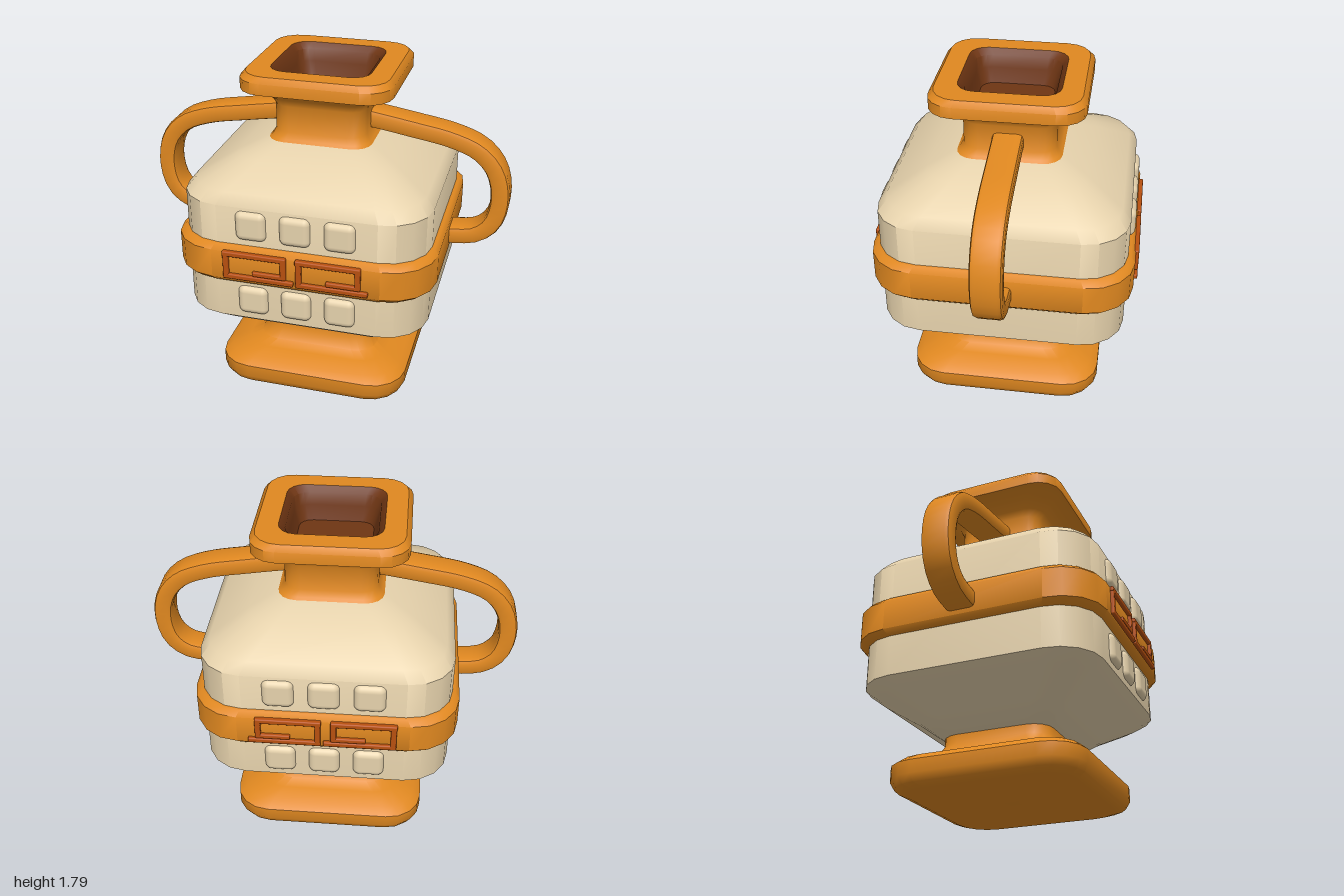
import * as THREE from 'three';
import { toCreasedNormals } from 'three/addons/utils/BufferGeometryUtils.js';
import { RoundedBoxGeometry } from 'three/addons/geometries/RoundedBoxGeometry.js';

const paint = (color) => new THREE.MeshStandardMaterial({ color });
const orange = paint(0xe08820);
const cream = paint(0xe6d2ac);
const brown = paint(0x6e3513);
const rust = paint(0xb8500f);

// Outline of a rounded rectangle, n segments per corner
function roundRect(hx, hz, r, n) {
  const pts = [];
  for (let q = 0; q < 4; q++) {
    const sx = q === 0 || q === 3 ? 1 : -1;
    const sz = q < 2 ? 1 : -1;
    for (let i = 0; i <= n; i++) {
      const a = (q + i / n) * Math.PI / 2;
      pts.push([sx * (hx - r) + r * Math.cos(a), sz * (hz - r) + r * Math.sin(a)]);
    }
  }
  return pts;
}

// Skin over a list of rings of Vector3, optionally closing the ends
function loft(rings, capStart, capEnd, crease) {
  const n = rings[0].length;
  const pos = [];
  const index = [];
  rings.forEach((ring) => ring.forEach((p) => pos.push(p.x, p.y, p.z)));
  for (let i = 0; i < rings.length - 1; i++) {
    for (let j = 0; j < n; j++) {
      const a = i * n + j, b = i * n + (j + 1) % n;
      index.push(a, a + n, b, b, a + n, b + n);
    }
  }
  const cap = (row, flip) => {
    const c = new THREE.Vector3();
    rings[row].forEach((p) => c.addScaledVector(p, 1 / n));
    const k = pos.length / 3;
    pos.push(c.x, c.y, c.z);
    for (let j = 0; j < n; j++) {
      const a = row * n + j, b = row * n + (j + 1) % n;
      index.push(k, flip ? b : a, flip ? a : b);
    }
  };
  if (capStart) cap(0, false);
  if (capEnd) cap(rings.length - 1, true);
  const geo = new THREE.BufferGeometry();
  geo.setAttribute('position', new THREE.Float32BufferAttribute(pos, 3));
  geo.setIndex(index);
  return toCreasedNormals(geo, crease);
}

// Square turned form from [half width, height] pairs
function squareLathe(profile, capStart, capEnd) {
  const rings = profile.map(([h, y]) =>
    roundRect(h, h, h * 0.36, 4).map(([x, z]) => new THREE.Vector3(x, y, z)));
  return loft(rings, capStart, capEnd, 0.75);
}

// Flat strap swept along a curve in the xy plane
function handleGeometry() {
  const path = [[0.2, 1.515], [0.45, 1.475], [0.69, 1.43], [0.83, 1.37], [0.915, 1.27],
    [0.947, 1.12], [0.915, 0.975], [0.835, 0.9], [0.7, 0.875], [0.62, 0.875]];
  const curve = new THREE.CatmullRomCurve3(path.map(([x, y]) => new THREE.Vector3(x, y, 0)));
  const section = roundRect(0.08, 0.05, 0.025, 2);
  const rings = [];
  for (let i = 0; i <= 28; i++) {
    const p = curve.getPointAt(i / 28);
    const t = curve.getTangentAt(i / 28);
    rings.push(section.map(([z, s]) => new THREE.Vector3(p.x - t.y * s, p.y + t.x * s, z)));
  }
  return loft(rings, true, true, 0.6);
}

export function createModel() {
  const model = new THREE.Group();
  const add = (name, geo, mat, parent = model) => {
    const mesh = new THREE.Mesh(geo, mat);
    mesh.name = name;
    parent.add(mesh);
    return mesh;
  };

  // Stacked square forms of the vase
  add('foot', squareLathe([[0.46, 0], [0.51, 0.02], [0.53, 0.06], [0.53, 0.13], [0.49, 0.165],
    [0.4, 0.19], [0.34, 0.21], [0.305, 0.27], [0.305, 0.33]], true, true), orange);
  add('body', squareLathe([[0.305, 0.315], [0.42, 0.4], [0.59, 0.5], [0.655, 0.55], [0.655, 1.2],
    [0.61, 1.255], [0.42, 1.355], [0.26, 1.42]], true, true), cream);
  add('waistBand', squareLathe([[0.64, 0.77], [0.67, 0.775], [0.693, 0.8], [0.693, 0.96],
    [0.67, 0.987], [0.64, 0.992]], true, true), orange);
  add('neckAndRim', squareLathe([[0.29, 1.4], [0.265, 1.425], [0.245, 1.46], [0.245, 1.6],
    [0.265, 1.64], [0.315, 1.675], [0.37, 1.7], [0.4, 1.705], [0.4, 1.765], [0.375, 1.795],
    [0.265, 1.795]], false, false), orange);
  add('mouthCavity', squareLathe([[0.265, 1.795], [0.235, 1.765], [0.225, 1.7], [0.2, 1.62]],
    false, true), brown);

  // Side handles
  const strap = handleGeometry();
  add('leftHandle', strap, orange);
  add('rightHandle', strap, orange).rotation.y = Math.PI;

  // Raised tiles and key pattern, front and back
  const tile = new RoundedBoxGeometry(0.165, 0.165, 0.08, 4, 0.037);
  // Key bars: [x centre, y centre, width, height]
  const bars = [[-0.19, 0.824, 0.375, 0.028], [-0.362, 0.887, 0.03, 0.155],
    [-0.21, 0.953, 0.34, 0.028], [-0.055, 0.905, 0.03, 0.12], [-0.13, 0.854, 0.18, 0.026]];
  for (const [side, s] of [['front', 1], ['back', -1]]) {
    const panel = new THREE.Group();
    panel.name = side + 'Decoration';
    model.add(panel);
    for (const y of [0.667, 1.103]) {
      for (const x of [-0.235, -0.003, 0.229]) {
        add('tile', tile, cream, panel).position.set(x, y, s * 0.64);
      }
    }
    for (const dx of [0, 0.388]) {
      for (const [x, y, w, h] of bars) {
        add('keyBar', new RoundedBoxGeometry(w, h, 0.036, 2, 0.007), rust, panel)
          .position.set(x + dx, y, s * 0.693);
      }
    }
  }
  return model;
}
